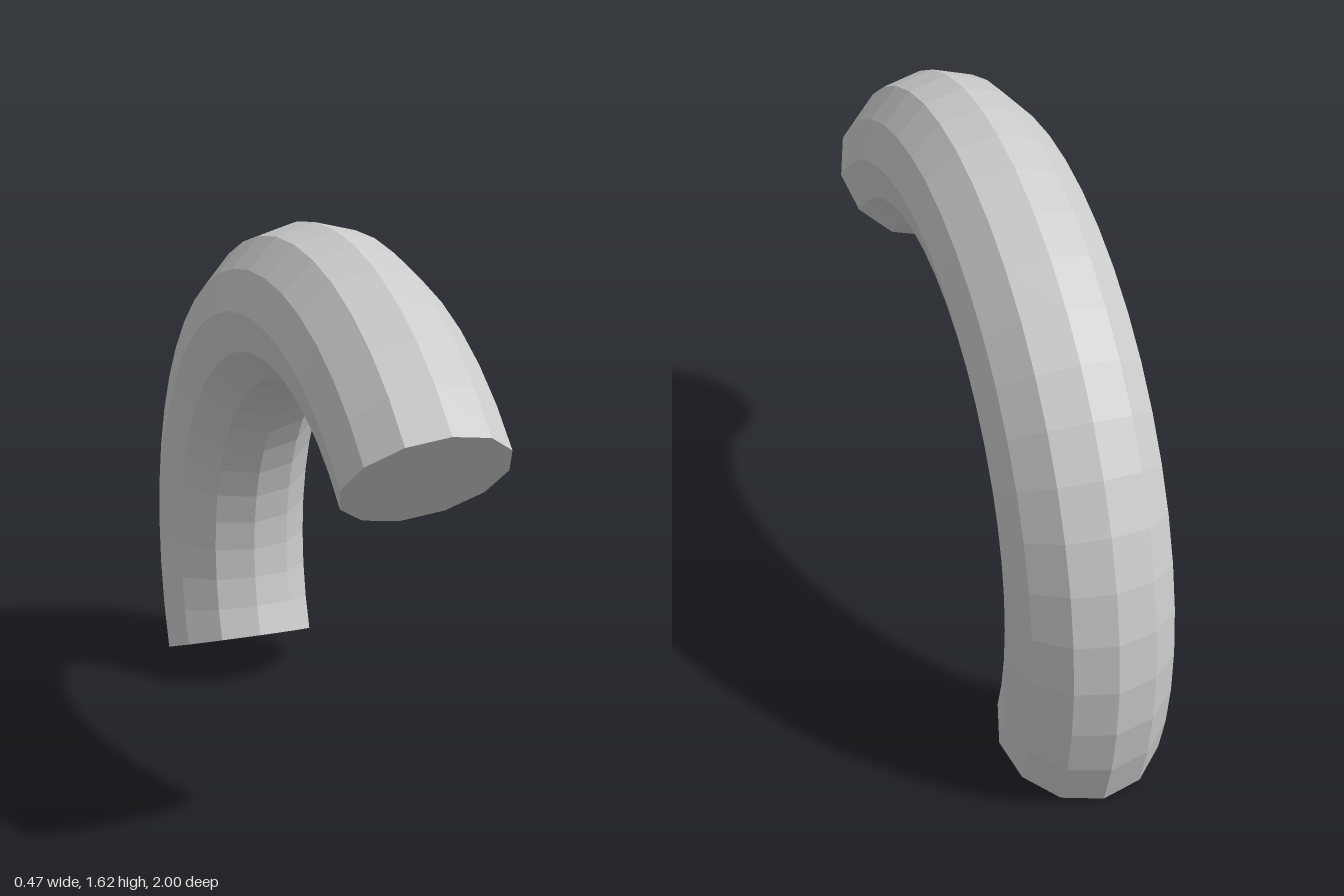
import * as THREE from 'three';

const RING = 0.936, TUBE = 0.234, SIDES = 12, STEPS = 21;
const START = Math.PI / 4, ARC = Math.PI * 7 / 8;
const CENTRE_Y = 0.448, CENTRE_Z = 0.172;

export function createModel() {
  const model = new THREE.Group();
  model.name = 'curvedPipe';
  const material = new THREE.MeshStandardMaterial({ color: 0xcccccc, flatShading: true });

  // Turn a part from the XY plane into the ZY plane and put it on the bend's centre
  const add = (geometry, angle, name) => {
    geometry.rotateZ(angle).rotateY(-Math.PI / 2).translate(0, CENTRE_Y, CENTRE_Z);
    const mesh = new THREE.Mesh(geometry, material);
    mesh.name = name;
    model.add(mesh);
  };

  // Faceted bend, 157.5 degrees of a ring
  add(new THREE.TorusGeometry(RING, TUBE, SIDES, STEPS, ARC), START, 'bend');

  // Flat caps closing both ends
  const cap = (turn) => new THREE.CircleGeometry(TUBE, SIDES).rotateX(turn).translate(RING, 0, 0);
  add(cap(Math.PI / 2), START, 'frontCap');
  add(cap(-Math.PI / 2), START + ARC, 'backCap');

  return model;
}
